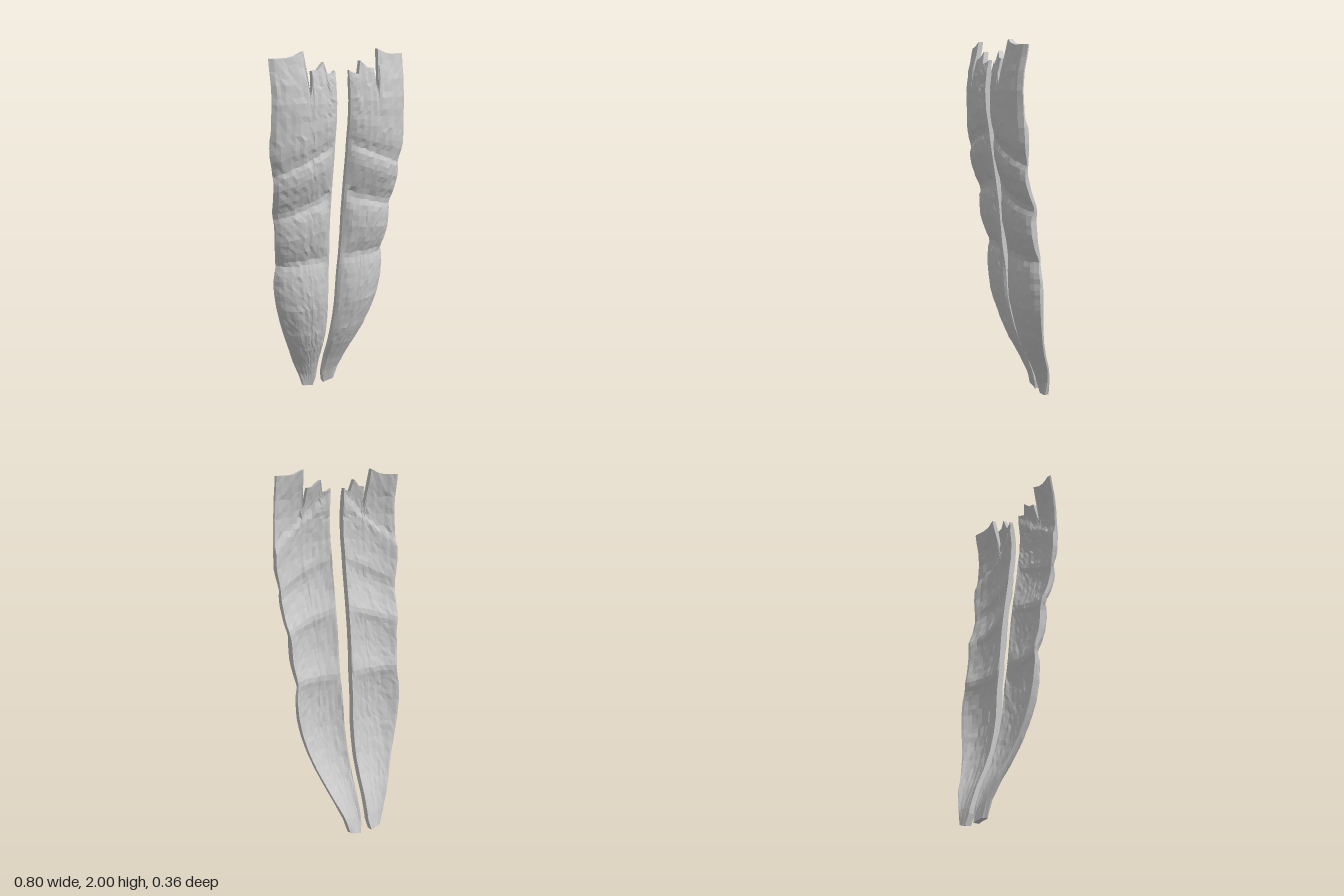
import * as THREE from 'three';

// Linear lookup through [position, value] pairs
function lookup(table, p) {
  if (p <= table[0][0]) return table[0][1];
  for (let i = 1; i < table.length; i++) {
    const [p0, v0] = table[i - 1], [p1, v1] = table[i];
    if (p <= p1) return v0 + (v1 - v0) * (p - p0) / (p1 - p0);
  }
  return table[table.length - 1][1];
}

// Small repeatable noise in -1..1
function noise(a, b) {
  const n = Math.sin(a * 127.1 + b * 311.7) * 43758.5453;
  return (n - Math.floor(n)) * 2 - 1;
}

// Outline: inner and outer edge by height, torn top by position across
const INNER = [[0, 0.035], [0.06, 0.02], [0.4, 0.02], [1, 0.038], [2, 0.04]];
const OUTER = [[0, 0.1], [0.1, 0.135], [0.2, 0.18], [0.4, 0.262], [0.5, 0.298], [0.6, 0.325],
  [0.7, 0.342], [0.78, 0.345], [0.87, 0.334], [1, 0.35], [1.1, 0.352], [1.2, 0.37],
  [1.38, 0.38], [1.5, 0.4], [1.6, 0.396], [1.8, 0.388], [2, 0.39]];
const TORN = [[0, 1.9], [0.04, 1.89], [0.14, 1.88], [0.19, 1.945], [0.3, 1.91], [0.4, 1.905],
  [0.42, 1.83], [0.455, 1.79], [0.5, 2], [0.62, 1.98], [0.75, 1.97], [1, 1.97]];
// Depth of the banded front, the smooth inner rim and the softer back
const FRONT = [[0, -0.15], [0.1, -0.118], [0.2, -0.075], [0.3, -0.025], [0.4, 0.016], [0.5, 0.045],
  [0.6, 0.069], [0.7, 0.08], [0.8, 0.079], [0.84, 0.073], [0.88, 0.062], [0.95, 0.091], [1.04, 0.114],
  [1.12, 0.122], [1.16, 0.118], [1.2, 0.104], [1.28, 0.137], [1.36, 0.163], [1.42, 0.168],
  [1.46, 0.155], [1.52, 0.175], [1.6, 0.181], [1.75, 0.176], [1.85, 0.16], [1.92, 0.14], [2, 0.122]];
const RIM = [[0, -0.15], [0.1, -0.118], [0.2, -0.075], [0.3, -0.025], [0.4, 0.016], [0.5, 0.043],
  [0.6, 0.062], [0.8, 0.075], [0.95, 0.087], [1.1, 0.103], [1.25, 0.126], [1.4, 0.151],
  [1.6, 0.173], [1.75, 0.174], [1.85, 0.16], [1.92, 0.14]];
const BACK = [[0, -0.18], [0.1, -0.148], [0.2, -0.106], [0.3, -0.056], [0.4, -0.014], [0.5, 0.012],
  [0.6, 0.031], [0.75, 0.044], [0.83, 0.042], [0.9, 0.034], [1, 0.057], [1.1, 0.068], [1.21, 0.072],
  [1.3, 0.106], [1.4, 0.13], [1.48, 0.131], [1.6, 0.138], [1.75, 0.13], [1.9, 0.108]];
// How far the outer side curves back, and how far the creases tilt
const DROP = [[0, -0.008], [0.1, 0.022], [0.2, 0.045], [0.4, 0.065], [0.6, 0.076], [0.75, 0.077],
  [0.9, 0.055], [1.1, 0.06], [1.6, 0.062], [2, 0.03]];
const TILT = [[0.87, 0], [1.2, 0.1], [1.46, 0.15], [1.72, 0]];

const COLUMNS = [0, 0.04, 0.09, 0.14, 0.19, 0.25, 0.3, 0.35, 0.4, 0.42, 0.455, 0.5,
  0.56, 0.62, 0.69, 0.75, 0.82, 0.88, 0.94, 1];
const BODY_ROWS = 58, TOP_ROWS = 8, ROWS = BODY_ROWS + TOP_ROWS, TORN_START = 1.72;

// Depth at u across; along is the height before the creases are tilted
function depth(u, y, along, back) {
  const bow = u > 0.4 ? Math.pow((u - 0.4) / 0.6, 2.4) : 0.4 * Math.pow((0.4 - u) / 0.4, 2);
  const curve = lookup(DROP, along) * bow;
  const rim = Math.max(0, 1 - u / 0.16);   // creases fade out at the inner rim
  const front = lookup(FRONT, along) * (1 - rim) + lookup(RIM, along) * rim;
  if (!back) return front - curve;
  // folds show through in the middle of the back
  const middle = 0.55 * (1 - Math.pow(2 * u - 1, 2));
  const soft = lookup(BACK, along) * (1 - rim) + (front - 0.038) * rim;
  const body = soft * (1 - middle) + (front - 0.037) * middle;
  // the back is thin above a diagonal fold
  const thin = lookup([[-0.03, 0], [0.015, 1]], y - (1.87 - 0.27 * u));
  return body * (1 - thin) + (front - 0.026) * thin - curve;
}

// One closed panel; side is +1 or -1
function panelGeometry(side) {
  const n = COLUMNS.length, ring = 2 * n, pos = [], index = [];
  for (let r = 0; r <= ROWS; r++) {
    for (let k = 0; k < ring; k++) {
      const back = k >= n, c = back ? ring - 1 - k : k, u = COLUMNS[c];
      const foot = 0.015 * u;
      const along = r <= BODY_ROWS
        ? foot + (TORN_START - foot) * r / BODY_ROWS
        : TORN_START + (lookup(TORN, u) - TORN_START) * (r - BODY_ROWS) / TOP_ROWS;
      let y = along - lookup(TILT, along) * (u - 0.5);
      const x0 = lookup(INNER, y), width = lookup(OUTER, y) - x0;
      let x = x0 + width * u;
      let z = depth(u, y, along, back);
      if (c === 0 || c === n - 1) {    // rounded rims
        const round = c === 0 ? 0.003 : 0.009;
        z += back ? round : -round;
        if (back) x += c === 0 ? 0.004 : -0.006;
      } else if (r > 0 && r < ROWS) {  // carved, grainy facets
        const grain = width / 0.35;
        z += grain * (0.003 * noise(k, Math.floor(r / 3)) + 0.0012 * noise(k + 50, r));
        y += grain * 0.005 * noise(k + 9, r + 31);
        x += grain * 0.002 * noise(k + 70, r);
      }
      pos.push(side * x, y, z);
    }
  }
  const quad = (a, b, c, d) => side > 0
    ? index.push(a, b, c, a, c, d)
    : index.push(a, c, b, a, d, c);
  for (let r = 0; r < ROWS; r++) {
    for (let k = 0; k < ring; k++) {
      const a = r * ring + k, b = r * ring + (k + 1) % ring;
      quad(a, b, b + ring, a + ring);
    }
  }
  // Torn top and narrow foot
  const t = ROWS * ring;
  for (let f = 0; f < n - 1; f++) {
    const g = f + 1, bg = ring - 2 - f, bf = ring - 1 - f;
    quad(t + f, t + g, t + bg, t + bf);
    quad(bf, bg, g, f);
  }
  const geometry = new THREE.BufferGeometry();
  geometry.setAttribute('position', new THREE.Float32BufferAttribute(pos, 3));
  geometry.setIndex(index);
  geometry.computeVertexNormals();
  return geometry;
}

export function createModel() {
  const group = new THREE.Group();
  group.name = 'tornPanels';
  const material = new THREE.MeshStandardMaterial({ color: 0xcccccc, flatShading: true });
  for (const [name, side] of [['leftPanel', 1], ['rightPanel', -1]]) {
    const panel = new THREE.Mesh(panelGeometry(side), material);
    panel.name = name;
    group.add(panel);
  }
  return group;
}
